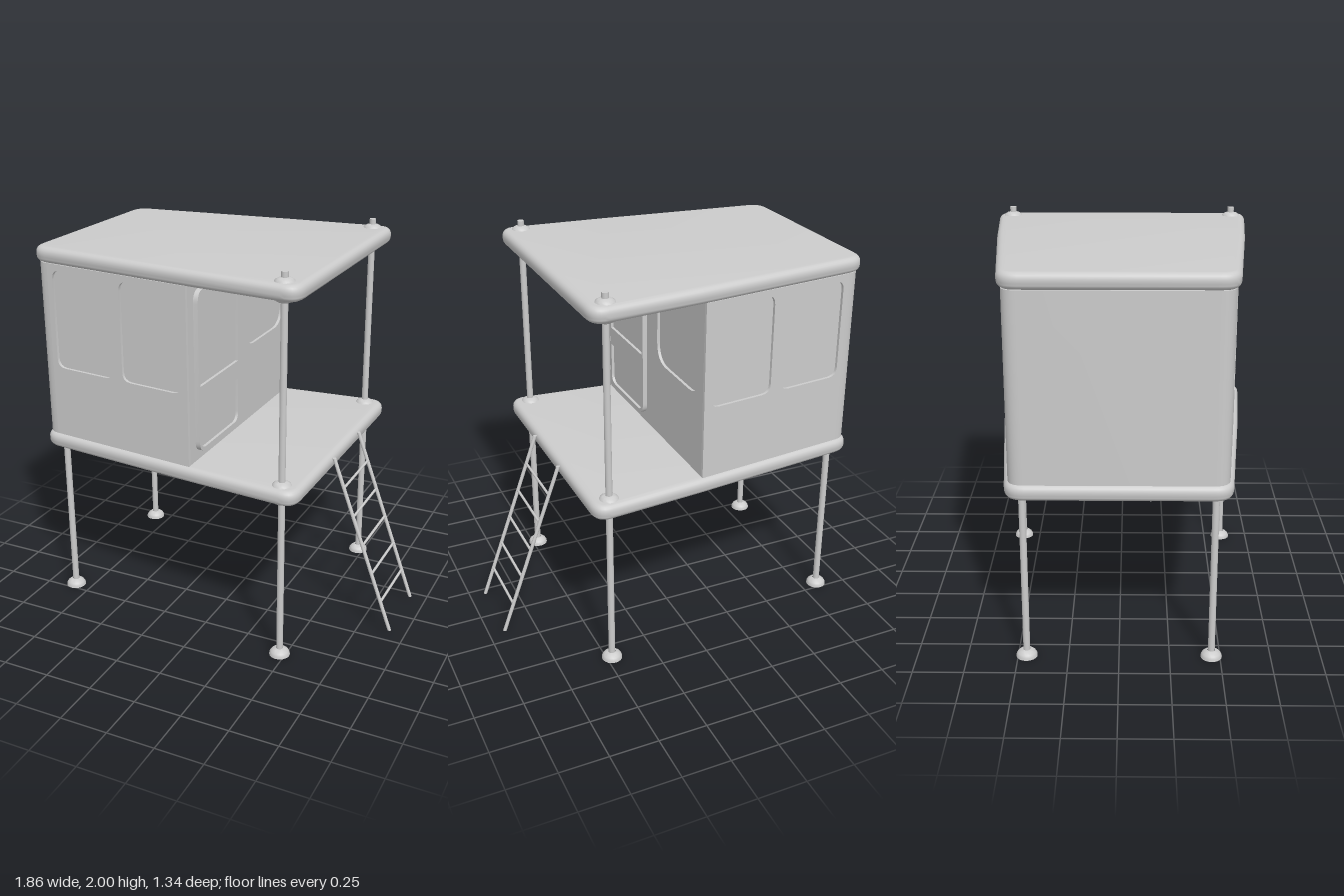
import * as THREE from 'three';
import { toCreasedNormals } from 'three/addons/utils/BufferGeometryUtils.js';

const material = new THREE.MeshStandardMaterial({ color: 0xcccccc });
const FLOOR = 0.955, CEILING = 1.875, SLAB = 0.08, WALL = 0.015;

function add(parent, name, geometry, x = 0, y = 0, z = 0) {
  const mesh = new THREE.Mesh(geometry, material);
  mesh.name = name;
  mesh.position.set(x, y, z);
  parent.add(mesh);
  return mesh;
}

function extrude(shape, depth, options = {}) {
  const geometry = new THREE.ExtrudeGeometry(shape, { depth, bevelEnabled: false, curveSegments: 8, ...options });
  return toCreasedNormals(geometry, 0.6);
}

// Rectangle with separate radii for its bottom and top corners
function roundedRect(x0, y0, x1, y1, rb, rt = rb, Type = THREE.Path) {
  const p = new Type();
  p.moveTo(x0 + rb, y0);
  p.lineTo(x1 - rb, y0);
  if (rb) p.quadraticCurveTo(x1, y0, x1, y0 + rb);
  p.lineTo(x1, y1 - rt);
  if (rt) p.quadraticCurveTo(x1, y1, x1 - rt, y1);
  p.lineTo(x0 + rt, y1);
  if (rt) p.quadraticCurveTo(x0, y1, x0, y1 - rt);
  p.lineTo(x0, y0 + rb);
  if (rb) p.quadraticCurveTo(x0, y0, x0 + rb, y0);
  return p;
}

// Tapered plan with rounded corners, used for floor and roof
function slabShape() {
  const s = new THREE.Shape();
  s.moveTo(-0.935, 0.44);
  s.quadraticCurveTo(-0.935, 0.53, -0.845, 0.539);
  s.lineTo(0, 0.63);
  s.lineTo(0.48, 0.672);
  s.quadraticCurveTo(0.57, 0.68, 0.57, 0.58);
  s.lineTo(0.57, -0.58);
  s.quadraticCurveTo(0.57, -0.68, 0.48, -0.672);
  s.lineTo(0, -0.63);
  s.lineTo(-0.845, -0.539);
  s.quadraticCurveTo(-0.935, -0.53, -0.935, -0.44);
  s.closePath();
  return s;
}

// Cabin core: rounded rear wall, stepped in where the wall panels sit
function cabinShape() {
  const s = new THREE.Shape();
  s.moveTo(-0.92, 0.44);
  s.quadraticCurveTo(-0.92, 0.513, -0.85, 0.52);
  s.lineTo(-0.85, 0.52 - WALL);
  s.lineTo(-0.025 - WALL, 0.603 - WALL);
  s.lineTo(-0.025 - WALL, -0.603 + WALL);
  s.lineTo(-0.85, -0.52 + WALL);
  s.lineTo(-0.85, -0.52);
  s.quadraticCurveTo(-0.92, -0.513, -0.92, -0.44);
  s.closePath();
  return s;
}

// Wall panel from plan point a to b (x, z), with window openings
function addWall(parent, name, a, b, holes, curveSegments) {
  const dx = b[0] - a[0], dz = b[1] - a[1];
  const shape = roundedRect(0, 0, Math.hypot(dx, dz), CEILING - FLOOR, 0, 0, THREE.Shape);
  shape.holes = holes;
  const geometry = extrude(shape, WALL, { curveSegments }).translate(0, 0, -WALL);
  add(parent, name, geometry, a[0], FLOOR, a[1]).rotation.y = Math.atan2(-dz, dx);
}

function lathe(points) {
  const geometry = new THREE.LatheGeometry(points.map(p => new THREE.Vector2(...p)), 24);
  return toCreasedNormals(geometry, 0.6);
}

export function createModel() {
  const model = new THREE.Group();
  model.name = 'stiltHouse';

  // Floor and roof slabs
  const bevel = 0.032;
  for (const [name, top] of [['floor', FLOOR], ['roof', CEILING + SLAB]]) {
    const geometry = extrude(slabShape(), SLAB - 2 * bevel, {
      bevelEnabled: true, bevelSize: bevel, bevelThickness: bevel, bevelOffset: -bevel, bevelSegments: 5,
    });
    geometry.rotateX(-Math.PI / 2);
    add(model, name, geometry, 0, top - SLAB + bevel, 0);
  }

  // Cabin with recessed windows
  const cabin = new THREE.Group();
  cabin.name = 'cabin';
  model.add(cabin);
  add(cabin, 'cabinCore', extrude(cabinShape(), CEILING - FLOOR).rotateX(-Math.PI / 2), 0, FLOOR, 0);
  const length = Math.hypot(0.825, 0.085);
  const spans = [[0.03, 0.383], [0.442, 0.794]];
  const sideWindow = (u0, u1) => roundedRect(u0, 0.375, u1, 0.89, 0.05);
  addWall(cabin, 'leftWall', [-0.85, 0.52], [-0.025, 0.605],
    spans.map(([u0, u1]) => sideWindow(u0, u1)), 4);
  addWall(cabin, 'rightWall', [-0.025, -0.605], [-0.85, -0.52],
    spans.map(([u0, u1]) => sideWindow(length - u1, length - u0)), 4);
  addWall(cabin, 'porchWall', [-0.025, 0.603], [-0.025, -0.603],
    [roundedRect(0.66, 0.415, 1.143, 0.88, 0.11)], 10);

  // Door: raised frame around two recessed panels
  const door = new THREE.Group();
  door.name = 'door';
  door.position.set(-0.025, 0, 0);
  door.rotation.y = Math.PI / 2;
  model.add(door);
  const doorOutline = () => roundedRect(-0.53, 1.0, -0.072, 1.835, 0.065, 0.065, THREE.Shape);
  const frame = doorOutline();
  frame.holes = [
    roundedRect(-0.513, 1.35, -0.09, 1.81, 0, 0.05),
    roundedRect(-0.513, 1.018, -0.09, 1.25, 0.05, 0),
  ];
  add(door, 'doorFrame', extrude(frame, 0.025));
  add(door, 'doorPanels', extrude(doorOutline(), 0.01));

  // Poles with feet and collars
  const foot = [[0, 0], [0.053, 0], [0.052, 0.01], [0.045, 0.022], [0.033, 0.032], [0.018, 0.037]];
  const collar = [[0.048, 0], [0.045, 0.006], [0.032, 0.014], [0.017, 0.018]];
  const under = collar.map(([r, y]) => [r, -y]).reverse();
  const addPole = (name, x, z, height, tops, bottoms) => {
    const pole = new THREE.Group();
    pole.name = name;
    pole.position.set(x, 0, z);
    model.add(pole);
    add(pole, 'shaft', new THREE.CylinderGeometry(0.017, 0.017, height, 20), 0, height / 2, 0);
    add(pole, 'foot', lathe(foot));
    tops.forEach(y => add(pole, 'upperCollar', lathe(collar), 0, y, 0));
    bottoms.forEach(y => add(pole, 'lowerCollar', lathe(under), 0, y, 0));
  };
  for (const [side, s] of [['left', 1], ['right', -1]]) {
    addPole(side + 'PorchPole', 0.47, s * 0.595, 2,
      [FLOOR, CEILING + SLAB], [FLOOR - SLAB, CEILING]);
    addPole(side + 'RearPole', -0.845, s * 0.457, 0.9, [], [FLOOR - SLAB]);
  }

  // Ladder: leaning rails with level-cut ends, and rungs
  const ladder = new THREE.Group();
  ladder.name = 'ladder';
  model.add(ladder);
  const lean = -0.338 / 0.925;
  for (const s of [1, -1]) {
    const rail = new THREE.CylinderGeometry(0.01, 0.01, 0.925, 12);
    rail.applyMatrix4(new THREE.Matrix4().makeShear(0, 0, lean, 0, 0, 0));
    add(ladder, 'ladderRail', rail, 0.75, 0.4825, s * 0.183);
  }
  for (let i = 0; i < 5; i++) {
    const y = 0.175 + i * 0.1535;
    const rung = new THREE.CylinderGeometry(0.007, 0.007, 0.366, 10).rotateX(Math.PI / 2);
    add(ladder, 'rung', rung, 0.75 + (y - 0.4825) * lean, y, 0);
  }
  return model;
}
